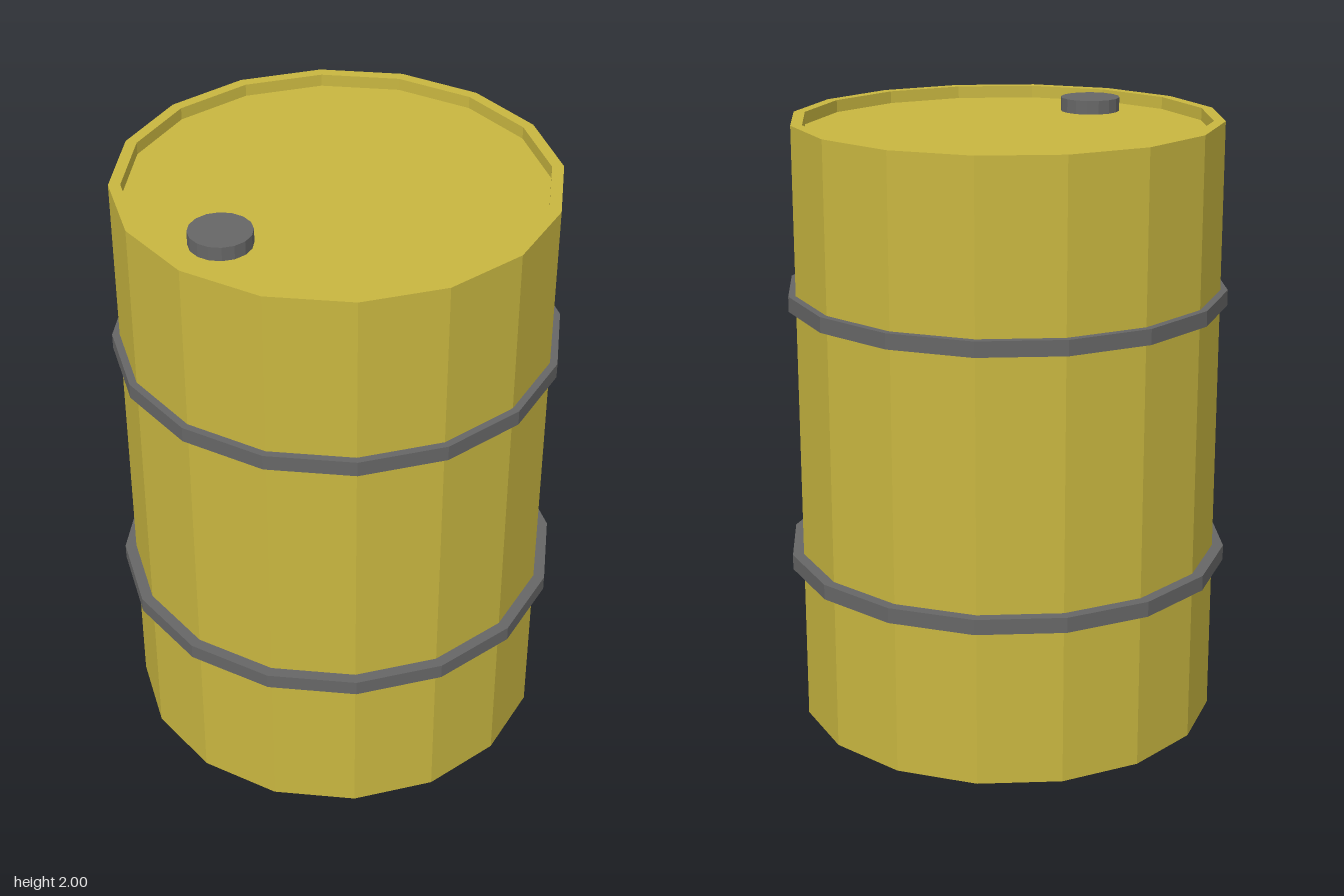
import * as THREE from 'three';

const SIDES = 16;

export function createModel() {
  const model = new THREE.Group();
  model.name = 'barrel';
  const yellow = new THREE.MeshStandardMaterial({ color: 0xc8b640, flatShading: true });
  const darkGrey = new THREE.MeshStandardMaterial({ color: 0x666666, flatShading: true });

  const add = (name, geometry, material) => {
    const mesh = new THREE.Mesh(geometry, material);
    mesh.name = name;
    model.add(mesh);
    return mesh;
  };
  // Profiles are [radius, height] pairs, running up the outside
  const lathe = (profile) =>
    new THREE.LatheGeometry(profile.map(([r, y]) => new THREE.Vector2(r, y)), SIDES);

  // Drum with a raised rim around the recessed lid and base
  add('drum', lathe([
    [0, 0.04], [0.655, 0.04], [0.655, 0], [0.692, 0],
    [0.692, 1.995], [0.655, 1.995], [0.655, 1.955], [0, 1.955],
  ]), yellow);

  // Two hoops around the drum, the lower one slightly wider
  const hoop = (name, radius, bottom, top) =>
    add(name, lathe([
      [0.68, bottom], [radius, bottom], [radius, top], [0.68, top],
    ]), darkGrey);
  hoop('lowerHoop', 0.729, 0.525, 0.575);
  hoop('upperHoop', 0.716, 1.402, 1.452);

  // Filler cap on the lid
  const cap = add('fillerCap', new THREE.CylinderGeometry(0.098, 0.098, 0.05, SIDES), darkGrey);
  cap.position.set(-0.365, 1.975, 0.29);

  return model;
}
